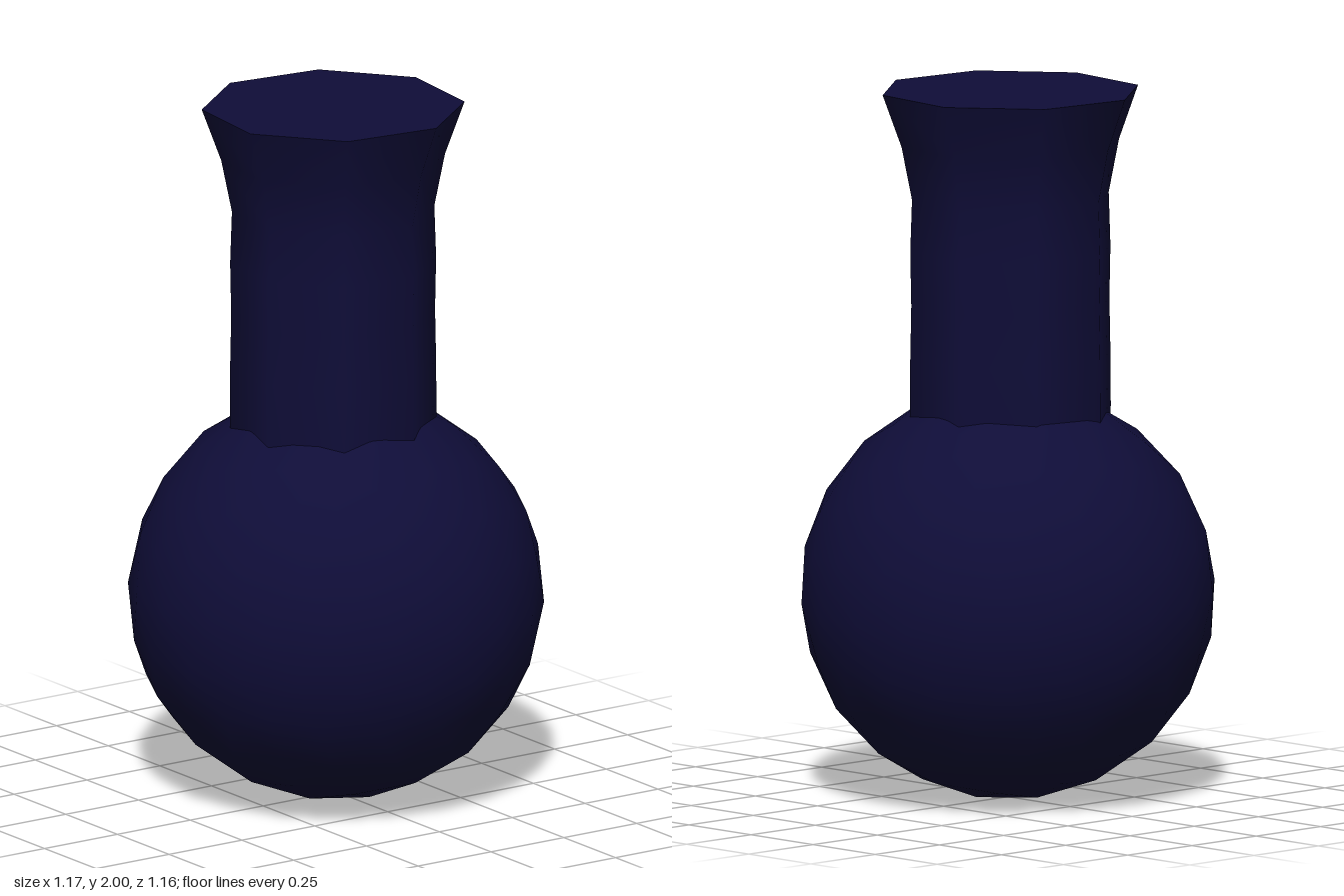
import * as THREE from 'three';

export function createModel() {
  const group = new THREE.Group();
  const navy = new THREE.MeshStandardMaterial({ color: 0x0f0d38 });
  navy.name = 'navy';
  const add = (name, geometry, x, y, z) => {
    const mesh = new THREE.Mesh(geometry, navy);
    mesh.name = name;
    mesh.position.set(x, y, z);
    group.add(mesh);
    return mesh;
  };
  const turn = THREE.MathUtils.degToRad(16);

  // Round body: tilted, smooth-shaded icosphere
  const body = new THREE.IcosahedronGeometry(0.583, 3);
  body.rotateZ(0.5536).rotateX(-0.07).rotateY(0.3);
  body.computeBoundingBox();
  add('body', body, 0, -body.boundingBox.min.y, 0);

  // Eight-sided neck with a flared rim (radius, height)
  const profile = [
    [0.29, 1.0], [0.291, 1.1], [0.29, 1.25], [0.287, 1.4],
    [0.29, 1.55], [0.285, 1.7], [0.315, 1.85], [0.37, 2],
  ].map(([r, y]) => new THREE.Vector2(r, y));
  add('neck', new THREE.LatheGeometry(profile, 8, turn), 0.003, 0, 0.012);

  // Flat lid closing the rim
  const lid = new THREE.CircleGeometry(0.37, 8, turn).rotateX(-Math.PI / 2);
  add('neckTop', lid, 0.003, 2, 0.012);

  return group;
}
